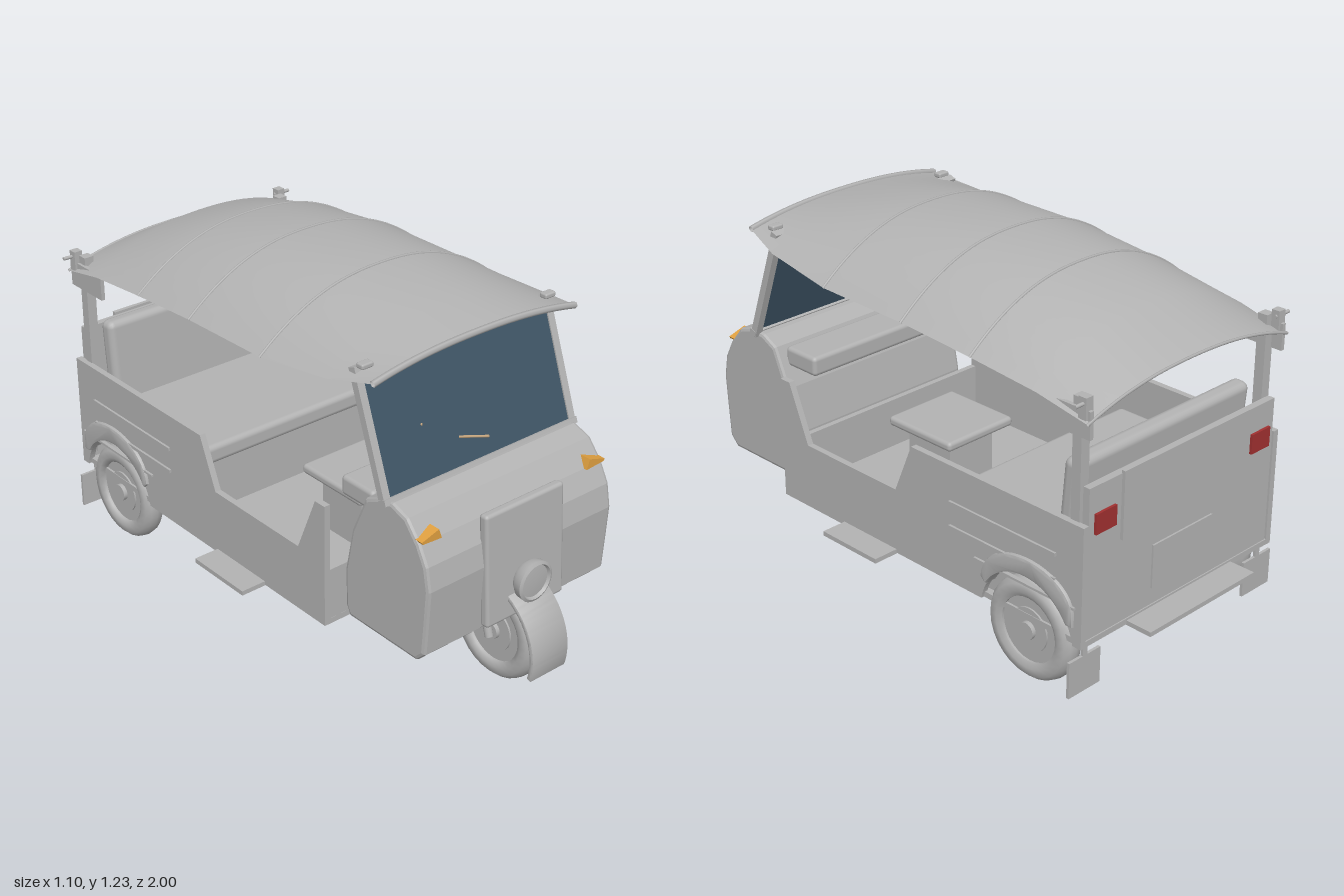
import * as THREE from 'three';
import { RoundedBoxGeometry } from 'three/addons/geometries/RoundedBoxGeometry.js';
import { toCreasedNormals } from 'three/addons/utils/BufferGeometryUtils.js';

const mat = (name, color, side = THREE.FrontSide) => {
  const m = new THREE.MeshStandardMaterial({ color, side });
  m.name = name;
  return m;
};

export function createModel() {
  const root = new THREE.Group();
  root.name = 'threeWheeledTaxi';
  const grey = mat('body grey', 0xb2b2b2, THREE.DoubleSide);
  const glass = mat('dark glass', 0x3f5566, THREE.DoubleSide);
  const orange = mat('indicator orange', 0xe0a040);
  const red = mat('tail lamp red', 0xa03030);
  const tan = mat('lever tan', 0xc8a880);

  const add = (name, geo, m, x = 0, y = 0, z = 0, parent = root) => {
    const mesh = new THREE.Mesh(geo, m);
    mesh.name = name;
    mesh.position.set(x, y, z);
    parent.add(mesh);
    return mesh;
  };
  const box = (name, w, h, d, x, y, z, m = grey, parent = root) =>
    add(name, new THREE.BoxGeometry(w, h, d), m, x, y, z, parent);
  const soft = (name, w, h, d, r, x, y, z) =>
    add(name, new RoundedBoxGeometry(w, h, d, 2, r), grey, x, y, z);
  const rod = (name, a, b, r, m = grey) => {
    const p = new THREE.Vector3(...a), q = new THREE.Vector3(...b);
    const mesh = add(name, new THREE.CylinderGeometry(r, r, p.distanceTo(q), 12), m);
    mesh.position.copy(p).lerp(q, 0.5);
    mesh.quaternion.setFromUnitVectors(new THREE.Vector3(0, 1, 0), q.sub(p).normalize());
    return mesh;
  };
  // Extrude a (z, y) outline across x, centred on x = 0
  const sideways = (shape, width, bevel = 0) => {
    const g = new THREE.ExtrudeGeometry(shape, {
      depth: width - 2 * bevel, bevelEnabled: bevel > 0, bevelThickness: bevel,
      bevelSize: bevel, bevelOffset: -bevel, bevelSegments: 2, curveSegments: 20,
    });
    g.translate(0, 0, -(width - 2 * bevel) / 2);
    return g.rotateY(-Math.PI / 2);
  };
  const outline = (pts) => new THREE.Shape(pts.map(([z, y]) => new THREE.Vector2(z, y)));

  // Wheels: rounded tyre, recessed disc, hub
  const tyre = new THREE.LatheGeometry([
    [0.112, -0.03], [0.13, -0.04], [0.155, -0.038], [0.17, -0.022], [0.175, 0],
    [0.17, 0.022], [0.155, 0.038], [0.13, 0.04], [0.112, 0.03], [0.112, -0.03],
  ].map(([r, h]) => new THREE.Vector2(r, h)), 28).rotateZ(Math.PI / 2);
  const wheel = (name, x, z) => {
    const g = new THREE.Group();
    g.name = name;
    g.position.set(x, 0.18, z);
    root.add(g);
    add('tyre', tyre, grey, 0, 0, 0, g);
    for (const [part, r, w] of [['wheelDisc', 0.113, 0.044], ['wheelRim', 0.075, 0.056], ['hub', 0.03, 0.085]])
      add(part, new THREE.CylinderGeometry(r, r, w, 24).rotateZ(Math.PI / 2), grey, 0, 0, 0, g);
  };
  wheel('frontWheel', 0, 0.775);
  wheel('rearWheelLeft', 0.415, -0.68);
  wheel('rearWheelRight', -0.415, -0.68);

  // Front cowl, panel and headlight
  add('frontCowl', toCreasedNormals(sideways(outline([
    [0.5, 0.245], [0.81, 0.245], [0.845, 0.28], [0.852, 0.38], [0.86, 0.51], [0.845, 0.59], [0.81, 0.655],
    [0.755, 0.72], [0.69, 0.742], [0.63, 0.735], [0.57, 0.705], [0.51, 0.57], [0.478, 0.41], [0.482, 0.28],
  ]), 0.78, 0.012), 0.2), grey);
  const panel = soft('frontPanel', 0.33, 0.39, 0.035, 0.012, 0, 0.49, 0.856);
  panel.rotation.x = -0.06;
  const lampProfile = [[0, 0], [0.05, 0], [0.068, 0.025], [0.07, 0.05], [0.06, 0.055], [0.055, 0.045], [0, 0.05]];
  add('headlight', toCreasedNormals(new THREE.LatheGeometry(
    lampProfile.map(([r, h]) => new THREE.Vector2(r, h)), 28).rotateX(Math.PI / 2), 0.6), grey, 0, 0.42, 0.87);

  // Front mudguard: arc strip around the wheel
  const arc = new THREE.Shape();
  arc.absarc(0.775, 0.18, 0.225, -0.28, 1.3, false);
  arc.absarc(0.775, 0.18, 0.208, 1.3, -0.28, true);
  add('frontMudguard', toCreasedNormals(sideways(arc, 0.155, 0.005), 0.6), grey);
  for (const s of [-1, 1]) rod('frontFork', [s * 0.055, 0.17, 0.785], [s * 0.055, 0.32, 0.74], 0.014);

  // Windscreen in its tilted frame
  const screen = new THREE.Group();
  screen.name = 'windscreen';
  screen.position.set(0, 0.925, 0.598);
  screen.rotation.x = -0.345;
  root.add(screen);
  box('glass', 0.76, 0.39, 0.008, 0, 0, 0, glass, screen);
  box('topFrame', 0.81, 0.03, 0.028, 0, 0.205, 0, grey, screen);
  box('bottomFrame', 0.81, 0.02, 0.028, 0, -0.2, 0, grey, screen);
  for (const s of [-1, 1]) box('screenPost', 0.026, 0.42, 0.026, s * 0.39, 0, -0.004, grey, screen);
  rod('longLever', [-0.12, 0.8, 0.53], [-0.027, 0.853, 0.72], 0.004, tan);
  rod('shortLever', [-0.24, 0.905, 0.53], [-0.2, 0.907, 0.61], 0.004, tan);
  rod('mirror', [-0.24, 0.905, 0.525], [-0.24, 0.908, 0.535], 0.035);

  // Floor, bulkhead and rear wall
  box('floor', 0.89, 0.02, 1.365, 0, 0.225, -0.222);
  box('bulkhead', 0.87, 0.2, 0.02, 0, 0.315, 0.45);
  box('rearWall', 0.86, 0.53, 0.025, 0, 0.48, -0.888);
  box('rearBoard', 0.58, 0.23, 0.014, 0, 0.64, -0.905);
  box('rearPlate', 0.28, 0.15, 0.008, 0, 0.37, -0.903);
  box('rearStep', 0.5, 0.016, 0.1, 0, 0.22, -0.95);

  // Side walls with a cut-out over each rear wheel
  const wall = new THREE.Shape();
  [[0.46, 0.215], [0.46, 0.65], [0.415, 0.65], [0.33, 0.447], [-0.1, 0.447], [-0.176, 0.627],
    [-0.905, 0.627], [-0.905, 0.215]].forEach(([z, y], i) => (i ? wall.lineTo(z, y) : wall.moveTo(z, y)));
  wall.lineTo(-0.872, 0.215);
  wall.absarc(-0.68, 0.18, 0.195, Math.PI - 0.18, 0.18, true);
  wall.closePath();
  const wallGeo = sideways(wall, 0.022);
  // Wheel arch swelling
  const arch = new THREE.Shape();
  arch.moveTo(-0.49, 0.3);
  arch.bezierCurveTo(-0.5, 0.48, -0.85, 0.48, -0.875, 0.33);
  arch.lineTo(-0.875, 0.28);
  arch.absarc(-0.68, 0.18, 0.195, Math.PI - 0.54, 0.54, true);
  arch.closePath();
  const archGeo = toCreasedNormals(sideways(arch, 0.06, 0.01), 0.6);

  const wedge = new THREE.Shape([[0, 0], [0.075, 0.005], [0.08, 0.013], [0.012, 0.034]].map((p) => new THREE.Vector2(...p)));
  for (const s of [-1, 1]) {
    add('sideWall', wallGeo, grey, s * 0.445, 0, 0);
    add('wheelArch', archGeo, grey, s * 0.438, 0, 0);
    box('archLip', 0.014, 0.008, 0.42, s * 0.457, 0.348, -0.67);
    for (const y of [0.415, 0.5]) box('sideRib', 0.012, 0.012, 0.45, s * 0.458, y, -0.575);
    box('sideStep', 0.11, 0.016, 0.255, s * 0.493, 0.22, 0.028);
    box('mudFlap', 0.138, 0.125, 0.01, s * 0.416, 0.11, -0.883);
    box('flapHanger', 0.02, 0.06, 0.01, s * 0.416, 0.195, -0.883);
    box('tailLamp', 0.09, 0.068, 0.009, s * 0.362, 0.622, -0.905, red);
    // Rear roof post with its bracket and pin
    box('rearPost', 0.035, 0.75, 0.035, s * 0.42, 0.65, -0.853);
    box('roofBracket', 0.014, 0.09, 0.18, s * 0.44, 0.953, -0.82);
    box('bracketCap', 0.03, 0.07, 0.03, s * 0.44, 1.005, -0.885);
    rod('bracketPin', [s * 0.42, 1.02, -0.888], [s * 0.488, 1.02, -0.888], 0.006);
    soft('roofStud', 0.045, 0.018, 0.03, 0.006, s * 0.375, 1.142, 0.55);
    // Turn indicator, mirrored by turning the extruded wedge
    const g = new THREE.ExtrudeGeometry(wedge, { depth: 0.04, bevelEnabled: false });
    if (s < 0) g.translate(0, 0, -0.04).rotateY(Math.PI);
    add('indicator', g, orange, s * 0.307, 0.655, 0.782);
  }

  // Seats and dashboard
  soft('dashboard', 0.7, 0.07, 0.15, 0.015, 0, 0.668, 0.485);
  soft('driverCushion', 0.3, 0.035, 0.3, 0.014, 0, 0.455, 0.12);
  box('driverSeatBase', 0.2, 0.21, 0.2, 0, 0.335, 0.12);
  box('benchBase', 0.84, 0.21, 0.46, 0, 0.335, -0.53);
  soft('benchCushion', 0.86, 0.07, 0.52, 0.02, 0, 0.465, -0.53);
  const back = soft('benchBack', 0.8, 0.32, 0.065, 0.025, 0, 0.63, -0.785);
  back.rotation.x = -0.08;

  // Exhaust
  rod('exhaustPipe', [0.2, 0.212, -0.17], [0.3, 0.195, -0.4], 0.01);
  rod('muffler', [0.27, 0.203, -0.32], [0.355, 0.188, -0.5], 0.02);

  // Roof canopy: arched sections [z, crown height, edge height, half width]
  const sections = [
    [0.63, 1.162, 1.122, 0.415], [0.47, 1.192, 1.092, 0.458], [0.19, 1.235, 1.062, 0.483],
    [-0.17, 1.235, 1.055, 0.485], [-0.46, 1.203, 1.032, 0.478], [-0.72, 1.135, 1.003, 0.468], [-0.91, 1.03, 0.962, 0.458],
  ];
  const N = 24;
  const archPoint = ([z, top, edge, w], t) =>
    new THREE.Vector3(w * t, edge + (top - edge) * (1 - Math.abs(t) ** 2.3), z);
  const pos = [], idx = [];
  sections.forEach((sec, i) => {
    for (let j = 0; j <= N; j++) {
      pos.push(...archPoint(sec, (j / N) * 2 - 1).toArray());
      if (i && j) {
        const d = i * (N + 1) + j, b = d - N - 1;
        idx.push(b - 1, b, d - 1, b, d, d - 1);
      }
    }
  });
  const roof = new THREE.BufferGeometry();
  roof.setAttribute('position', new THREE.Float32BufferAttribute(pos, 3));
  // Wind faces so their fronts point up
  for (let k = 0; k < idx.length; k += 3) {
    const [a, b, c] = [0, 1, 2].map((n) => new THREE.Vector3().fromArray(pos, idx[k + n] * 3));
    if (b.sub(a).cross(c.sub(a)).y < 0) [idx[k + 1], idx[k + 2]] = [idx[k + 2], idx[k + 1]];
  }
  roof.setIndex(idx);
  roof.computeVertexNormals();
  add('roofCanopy', roof, grey);

  // Seams over the canopy and a thicker front rim
  const hoop = (name, sec, r) => {
    const pts = Array.from({ length: 17 }, (_, j) => archPoint(sec, j / 8 - 1));
    add(name, new THREE.TubeGeometry(new THREE.CatmullRomCurve3(pts), 40, r, 6), grey);
  };
  for (const i of [2, 3, 4]) hoop('roofSeam', sections[i], 0.005);
  hoop('roofFrontRim', sections[0], 0.011);
  hoop('roofRearRim', sections[6], 0.005);
  return root;
}
